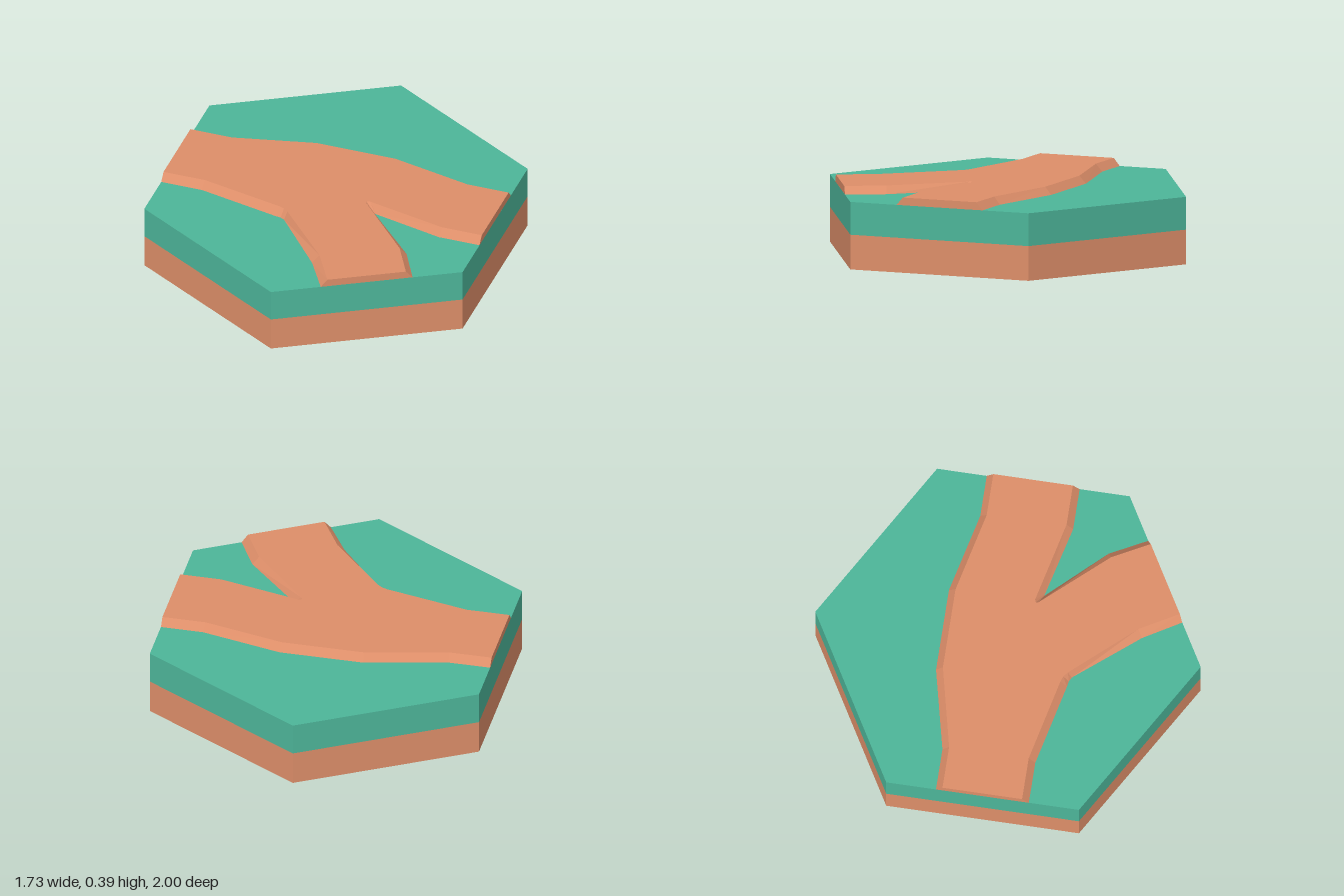
import * as THREE from 'three';

const GROUND = 0.35, PATH_TOP = 0.39, DIRT_TOP = 0.18;

// Path outline, counterclockwise seen from above: [base x, base z, top x, top z]
const outline = [
  // front left edge and bend into the branch
  [-0.866, 0.24, -0.866, 0.205], [-0.645, 0.24, -0.64, 0.205],
  [-0.21, 0.338, -0.2, 0.303], [-0.18, 0.343, -0.172, 0.313], [-0.157, 0.355, -0.147, 0.333],
  [0.11, 0.678, 0.142, 0.655], [0.225, 0.87, 0.255, 0.853],
  // branch end and notch
  [0.64, 0.63, 0.61, 0.648], [0.54, 0.44, 0.508, 0.457],
  [0.264, 0.15, 0.208, 0.125], [0.266, 0.148, 0.207, 0.113], [0.27, 0.15, 0.222, 0.107],
  // right end
  [0.645, 0.24, 0.65, 0.205], [0.866, 0.24, 0.866, 0.205],
  // back edge
  [0.866, -0.242, 0.866, -0.208], [0.645, -0.242, 0.64, -0.208],
  [0.22, -0.34, 0.215, -0.305], [-0.22, -0.34, -0.215, -0.305],
  [-0.645, -0.242, -0.64, -0.208], [-0.866, -0.242, -0.866, -0.208],
];

// Sloped walls around the outline with a flat cap on top
function pathGeometry() {
  const positions = [];
  const base = outline.map(p => new THREE.Vector3(p[0], GROUND, p[1]));
  const top = outline.map(p => new THREE.Vector3(p[2], PATH_TOP, p[3]));
  const tri = (...pts) => pts.forEach(p => positions.push(p.x, p.y, p.z));
  base.forEach((b, i) => {
    const j = (i + 1) % base.length;
    tri(b, base[j], top[j]);
    tri(b, top[j], top[i]);
  });
  const flat = top.map(p => new THREE.Vector2(p.x, -p.z));
  THREE.ShapeUtils.triangulateShape(flat, []).forEach(([a, b, c]) => tri(top[a], top[b], top[c]));
  const geometry = new THREE.BufferGeometry();
  geometry.setAttribute('position', new THREE.Float32BufferAttribute(positions, 3));
  geometry.computeVertexNormals();
  return geometry;
}

// Flat-faced hexagonal slab with corners on the z axis
function hexSlab(bottom, top) {
  const geometry = new THREE.CylinderGeometry(1, 1, top - bottom, 6).toNonIndexed();
  geometry.translate(0, (bottom + top) / 2, 0);
  geometry.computeVertexNormals();
  return geometry;
}

export function createModel() {
  const dirt = new THREE.MeshStandardMaterial({ color: 0xdd8e69 });
  dirt.name = 'dirt';
  const grass = new THREE.MeshStandardMaterial({ color: 0x4db599 });
  grass.name = 'grass';

  const model = new THREE.Group();
  model.name = 'hexPathTile';
  const add = (name, geometry, material) => {
    const mesh = new THREE.Mesh(geometry, material);
    mesh.name = name;
    model.add(mesh);
  };
  add('dirtBase', hexSlab(0, DIRT_TOP), dirt);
  add('grassLayer', hexSlab(DIRT_TOP, GROUND), grass);
  add('forkedPath', pathGeometry(), dirt);
  return model;
}
